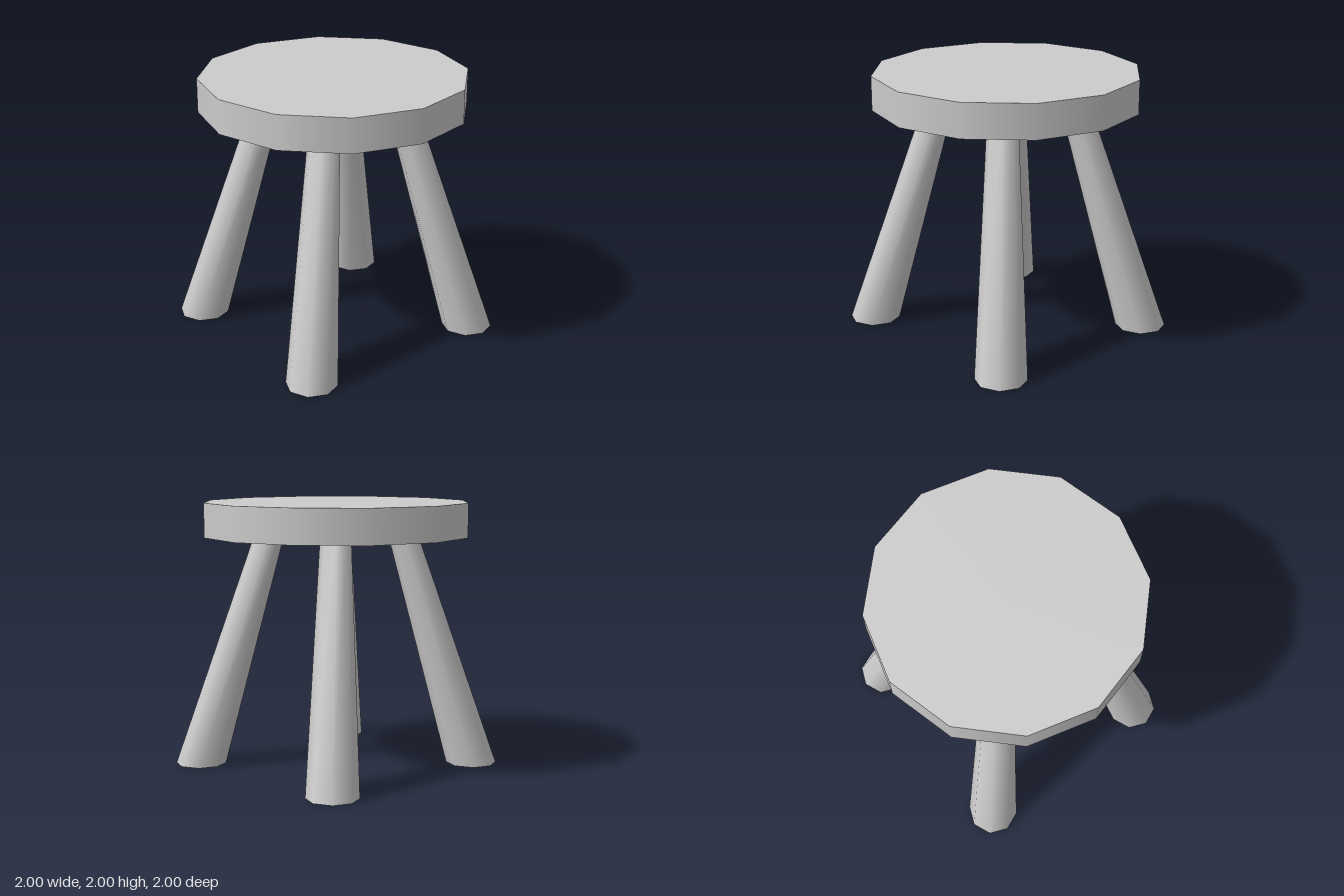
import * as THREE from 'three';
import { mergeVertices } from 'three/addons/utils/BufferGeometryUtils.js';

const SEAT_BOTTOM = 1.745;

// Tapered, hollow eight-sided leg, sheared outwards so both rims stay level
function legGeometry(sx, sz) {
  const geo = new THREE.CylinderGeometry(0.113, 0.19, SEAT_BOTTOM, 8, 1, true);
  geo.translate(0, SEAT_BOTTOM / 2, 0);
  const pos = geo.attributes.position;
  for (let i = 0; i < pos.count; i++) {
    const t = pos.getY(i) / SEAT_BOTTOM;
    pos.setX(i, pos.getX(i) + sx * THREE.MathUtils.lerp(0.747, 0.357, t));
    pos.setZ(i, pos.getZ(i) + sz * THREE.MathUtils.lerp(0.72, 0.356, t));
  }
  // Weld the seam for smooth shading all the way round
  geo.deleteAttribute('uv');
  geo.deleteAttribute('normal');
  const welded = mergeVertices(geo);
  welded.computeVertexNormals();
  return welded;
}

export function createModel() {
  const model = new THREE.Group();
  model.name = 'stool';
  const seatMaterial = new THREE.MeshStandardMaterial({ color: 0xcccccc });
  const legMaterial = new THREE.MeshStandardMaterial({ color: 0xcccccc, side: THREE.DoubleSide });

  // Twelve-sided seat
  const thickness = 2 - SEAT_BOTTOM;
  const seat = new THREE.Mesh(new THREE.CylinderGeometry(1, 1, thickness, 12), seatMaterial);
  seat.name = 'seat';
  seat.position.y = SEAT_BOTTOM + thickness / 2;
  model.add(seat);

  // Four splayed legs
  for (const sx of [1, -1]) {
    for (const sz of [1, -1]) {
      const leg = new THREE.Mesh(legGeometry(sx, sz), legMaterial);
      leg.name = (sz > 0 ? 'front' : 'back') + (sx > 0 ? 'Left' : 'Right') + 'Leg';
      model.add(leg);
    }
  }
  return model;
}
